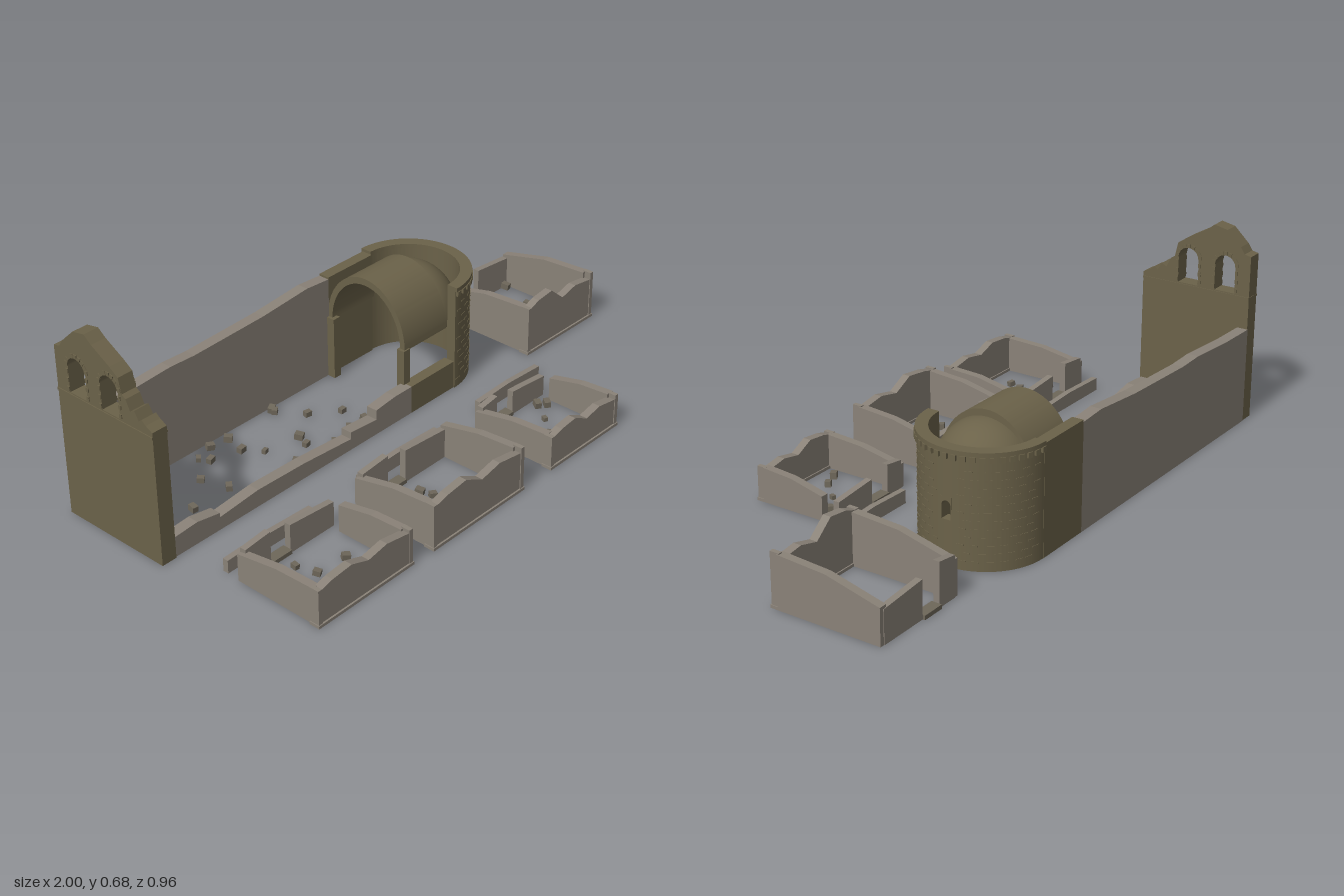
import * as THREE from 'three';
import { toCreasedNormals } from 'three/addons/utils/BufferGeometryUtils.js';

const mat = (name, color, side = THREE.FrontSide) => {
  const m = new THREE.MeshStandardMaterial({ color, side });
  m.name = name;
  return m;
};

export function createModel() {
  const root = new THREE.Group();
  const grey = mat('grey rubble stone', 0x8a8278);
  const brown = mat('brown dressed stone', 0x6b6249);
  const shell = mat('brown vault stone', 0x6b6249, THREE.DoubleSide);
  const debris = mat('fallen stone', 0x6e675a);

  let seed = 7;
  const rnd = () => (seed = (seed * 16807) % 2147483647) / 2147483647;

  const add = (parent, name, geo, material) => {
    const m = new THREE.Mesh(geo, material);
    m.name = name;
    parent.add(m);
    return m;
  };
  // Box given by its bounds
  const box = (parent, name, material, x0, x1, y0, y1, z0, z1) => {
    const m = add(parent, name, new THREE.BoxGeometry(x1 - x0, y1 - y0, z1 - z0), material);
    m.position.set((x0 + x1) / 2, (y0 + y1) / 2, (z0 + z1) / 2);
    return m;
  };
  const group = (name, parent = root) => {
    const g = new THREE.Group();
    g.name = name;
    parent.add(g);
    return g;
  };
  // Upright wall with a ragged top; top is [along, height] from low to high
  const wallGeo = (top, t, holes = []) => {
    const pts = [[top[0][0], 0], [top[top.length - 1][0], 0], ...[...top].reverse()];
    const s = new THREE.Shape(pts.map(p => new THREE.Vector2(...p)));
    s.holes.push(...holes);
    return new THREE.ExtrudeGeometry(s, { depth: t, bevelEnabled: false, curveSegments: 16 });
  };
  const wallX = (parent, name, material, top, z0, z1) =>
    add(parent, name, wallGeo(top, z1 - z0).translate(0, 0, z0), material);
  const wallZ = (parent, name, material, top, x0, x1, holes) =>
    add(parent, name, wallGeo(top, x1 - x0, holes).rotateY(-Math.PI / 2).translate(x1, 0, 0), material);
  const arch = (c, r, y0, spring) => {
    const p = new THREE.Path();
    p.moveTo(c - r, y0);
    p.lineTo(c + r, y0);
    p.lineTo(c + r, spring);
    p.absarc(c, spring, r, 0, Math.PI, false);
    p.lineTo(c - r, y0);
    return p;
  };
  const rubble = (parent, points) => points.forEach(([x, z]) => {
    const s = 0.014 + rnd() * 0.008;
    const m = add(parent, 'rubble', new THREE.BoxGeometry(s * 1.3, s, s), debris);
    m.position.set(x, s / 2 + 0.002, z);
    m.rotation.set(0.1 * rnd(), rnd() * 3, 0.1 * rnd());
  });

  // ---- Church ----
  const church = group('church');
  const cz = -0.27;

  // Bell gable with two arched openings
  const gable = group('bellGable', church);
  const gableTop = [[-0.473, 0.589], [-0.449, 0.594], [-0.434, 0.617], [-0.381, 0.667], [-0.332, 0.677],
    [-0.303, 0.654], [-0.23, 0.612], [-0.197, 0.589], [-0.186, 0.539], [-0.171, 0.529], [-0.155, 0.495],
    [-0.137, 0.505], [-0.121, 0.477], [-0.108, 0.487], [-0.092, 0.474], [-0.066, 0.461]];
  const bells = [-0.24, -0.38];
  wallZ(gable, 'gableWall', brown, gableTop, -0.997, -0.943, bells.map(c => arch(c, 0.038, 0.45, 0.54)));
  box(gable, 'stringCourse', brown, -1, -0.94, 0.438, 0.446, -0.474, -0.066);
  for (const c of bells) {
    for (let i = 0; i < 9; i++) {
      const a = (i + 0.5) * Math.PI / 9;
      const v = add(gable, 'archStone', new THREE.BoxGeometry(0.06, 0.013, 0.013), brown);
      v.position.set(-0.97, 0.54 + 0.0445 * Math.sin(a), c + 0.0445 * Math.cos(a));
      v.rotation.x = -a;
    }
    for (const s of [-1, 1]) for (const y of [0.455, 0.485, 0.515]) {
      const z = c + s * 0.043;
      box(gable, 'jambStone', brown, -1, -0.94, y, y + 0.014, z - 0.005, z + 0.005);
    }
  }

  // Nave walls: north tall, south ruined low
  const northTop = [[-0.943, 0.333], [-0.8, 0.335], [-0.6, 0.347], [-0.5, 0.343], [-0.2, 0.353], [0, 0.37], [0.1, 0.363]];
  wallX(church, 'northNaveWall', grey, northTop, -0.475, -0.435);
  [
    [[-0.943, 0.07], [-0.85, 0.076], [-0.76, 0.06]],
    [[-0.76, 0.045], [-0.6, 0.06], [-0.4, 0.055], [-0.19, 0.04]],
    [[-0.19, 0.065], [-0.07, 0.055]],
    [[-0.07, 0.09], [0.02, 0.1], [0.1, 0.1]],
  ].forEach(t => wallX(church, 'southNaveWall', grey, t, -0.11, -0.07));

  // Choir walls, piers and barrel vault
  const choir = group('choir', church);
  box(choir, 'northChoirWall', brown, 0.1, 0.31, 0, 0.37, -0.475, -0.435);
  box(choir, 'southChoirWall', brown, 0.1, 0.31, 0, 0.1, -0.11, -0.07);
  for (const z of [-0.435, -0.125]) box(choir, 'archPier', brown, 0.09, 0.12, 0, 0.225, z, z + 0.03);
  const vaultShape = new THREE.Shape();
  vaultShape.absarc(0, 0, 0.17, 0, Math.PI, false);
  vaultShape.absarc(0, 0, 0.15, Math.PI, 0, true);
  const vault = new THREE.ExtrudeGeometry(vaultShape, { depth: 0.205, bevelEnabled: false, curveSegments: 32 });
  vault.rotateY(Math.PI / 2).scale(1, 1.2, 1).translate(0.1, 0.22, cz);
  add(choir, 'barrelVault', toCreasedNormals(vault, 0.5), shell);

  // Half-round apse
  const apse = group('apse', church);
  apse.position.set(0.31, 0, cz);
  const sector = (name, r0, r1, y0, y1, a0, a1) => {
    const s = new THREE.Shape();
    s.absarc(0, 0, r1, a0, a1, false);
    s.absarc(0, 0, r0, a1, a0, true);
    const g = new THREE.ExtrudeGeometry(s, { depth: y1 - y0, bevelEnabled: false, curveSegments: 32 });
    add(apse, name, toCreasedNormals(g.rotateX(-Math.PI / 2).translate(0, y0, 0), 0.5), brown);
  };
  const half = Math.PI / 2, gap = 0.1;
  sector('apseWall', 0.17, 0.204, 0, 0.365, -half, -gap);
  sector('apseWall', 0.17, 0.204, 0, 0.365, gap, half);
  sector('wallBelowWindow', 0.17, 0.204, 0, 0.15, -gap, gap);
  sector('wallAboveWindow', 0.17, 0.204, 0.225, 0.365, -gap, gap);
  const panel = new THREE.Shape([[-0.0204, 0.15], [0.0204, 0.15], [0.0204, 0.225], [-0.0204, 0.225]]
    .map(p => new THREE.Vector2(...p)));
  panel.holes.push(arch(0, 0.016, 0.152, 0.196));
  add(apse, 'windowSurround', new THREE.ExtrudeGeometry(panel, { depth: 0.034, bevelEnabled: false })
    .rotateY(half).translate(0.17, 0, 0), brown);
  sector('corniceLedge', 0.17, 0.21, 0.365, 0.38, -half, half);
  // Places a small block against the curved wall
  const onWall = (name, a, y, r, w, h, d) => {
    const m = add(apse, name, new THREE.BoxGeometry(d, h, w), brown);
    m.position.set(r * Math.cos(a), y, -r * Math.sin(a));
    m.rotation.y = a;
  };
  for (let i = 0; i < 23; i++) onWall('corbel', -half + 0.05 + i * (Math.PI - 0.1) / 22, 0.357, 0.207, 0.016, 0.018, 0.012);
  // Projecting course stones
  for (let row = 0; row < 12; row++) for (let i = 0; i < 14; i++) {
    const a = -1.45 + (i + (row % 2) / 2) * 0.21 + (rnd() - 0.5) * 0.06;
    if (Math.abs(a) > 0.2) onWall('courseStone', a, 0.03 + row * 0.026, 0.203, 0.024, 0.004, 0.005);
  }
  const dome = new THREE.SphereGeometry(0.168, 32, 16, half, Math.PI, 0, half);
  add(apse, 'halfDome', dome.scale(1, 1.08, 1).translate(-0.005, 0.22, 0), shell);

  rubble(church, [[-0.77, -0.38], [-0.79, -0.315], [-0.75, -0.2], [-0.79, -0.14], [-0.63, -0.295], [-0.6, -0.2],
    [-0.555, -0.385], [-0.535, -0.35], [-0.485, -0.405], [-0.415, -0.395], [-0.43, -0.32], [-0.385, -0.26],
    [-0.365, -0.145], [-0.4, -0.135], [-0.255, -0.235], [-0.27, -0.19], [-0.2, -0.415], [-0.2, -0.4],
    [-0.2, -0.135], [-0.14, -0.31], [-0.05, -0.24], [-0.11, -0.155], [-0.04, -0.15]]);

  // ---- Ruined houses ----
  const house = (name, { x0, x1, z0, z1, front, side, door, rightStart, stones }) => {
    const g = group(name);
    const t = 0.028, f = [0, 0.15, 0.35, 0.53, 0.73, 1];
    wallX(g, 'frontWall', grey, front.map((y, i) => [x0 + 0.006 + f[i] * (x1 - x0 - 0.012), y]), z1 - t - 0.006, z1 - 0.006);
    box(g, 'plinth', grey, x0, x1, 0, 0.01, z1 - t - 0.01, z1);
    const sideTop = s => [[s, side[2]], [s + (z1 - t - s) * 0.52, side[1]], [z1 - t, side[0]]];
    wallZ(g, 'leftHandWall', grey, sideTop(z0 + 0.01), x0 + 0.006, x0 + 0.006 + t);
    wallZ(g, 'rightHandWall', grey, sideTop(rightStart), x1 - t, x1);
    // Corner stones of the front wall
    for (const x of [x0 + 0.003, x1 - 0.018]) box(g, 'cornerPost', grey, x, x + 0.015, 0, front[0] + 0.008, z1 - t - 0.008, z1 - 0.003);
    // Back wall, broken by the doorway
    const h = side[2] + 0.025;
    wallX(g, 'backWall', grey, [[x0 + 0.02, h - 0.01], [door[0], h]], z0 + 0.008, z0 + 0.03);
    wallX(g, 'backWall', grey, [[door[1], h - 0.02], [x1 - 0.015, h - 0.035]], z0 + 0.008, z0 + 0.03);
    box(g, 'threshold', debris, door[0], door[1], 0, 0.014, z0, z0 + 0.036);
    rubble(g, stones);
  };
  house('westHouse', {
    x0: -0.905, x1: -0.505, z0: 0.138, z1: 0.475, front: [0.12, 0.135, 0.142, 0.118, 0.132, 0.115],
    side: [0.125, 0.12, 0.095], door: [-0.785, -0.705], rightStart: 0.2,
    stones: [[-0.81, 0.23], [-0.75, 0.23], [-0.73, 0.3], [-0.62, 0.31], [-0.75, 0.35], [-0.69, 0.375]],
  });
  house('middleHouse', {
    x0: -0.422, x1: 0.004, z0: 0.148, z1: 0.478, front: [0.15, 0.165, 0.175, 0.138, 0.155, 0.138],
    side: [0.155, 0.145, 0.112], door: [-0.29, -0.21], rightStart: 0.16,
    stones: [[-0.365, 0.225], [-0.27, 0.27], [-0.23, 0.255], [-0.215, 0.295], [-0.29, 0.33], [-0.18, 0.36]],
  });
  house('eastHouse', {
    x0: 0.138, x1: 0.488, z0: 0.152, z1: 0.476, front: [0.11, 0.125, 0.132, 0.102, 0.115, 0.1],
    side: [0.118, 0.11, 0.082], door: [0.23, 0.31], rightStart: 0.215,
    stones: [[0.4, 0.215], [0.425, 0.235], [0.35, 0.285], [0.285, 0.355], [0.225, 0.38], [0.4, 0.4]],
  });
  house('farHouse', {
    x0: 0.635, x1: 1, z0: -0.41, z1: -0.012, front: [0.17, 0.19, 0.198, 0.145, 0.163, 0.15],
    side: [0.175, 0.165, 0.12], door: [0.73, 0.81], rightStart: -0.4,
    stones: [[0.725, -0.3], [0.95, -0.365], [0.9, -0.225], [0.94, -0.22], [0.82, -0.12], [0.92, -0.07]],
  });

  // Low lane walls between church and houses
  for (const [a, b] of [[-0.895, -0.54], [-0.33, 0.035], [0.24, 0.55]])
    wallX(root, 'laneWall', grey, [[a, 0.045], [(a + b) / 2, 0.05], [b, 0.042]], 0.082, 0.102);

  return root;
}
